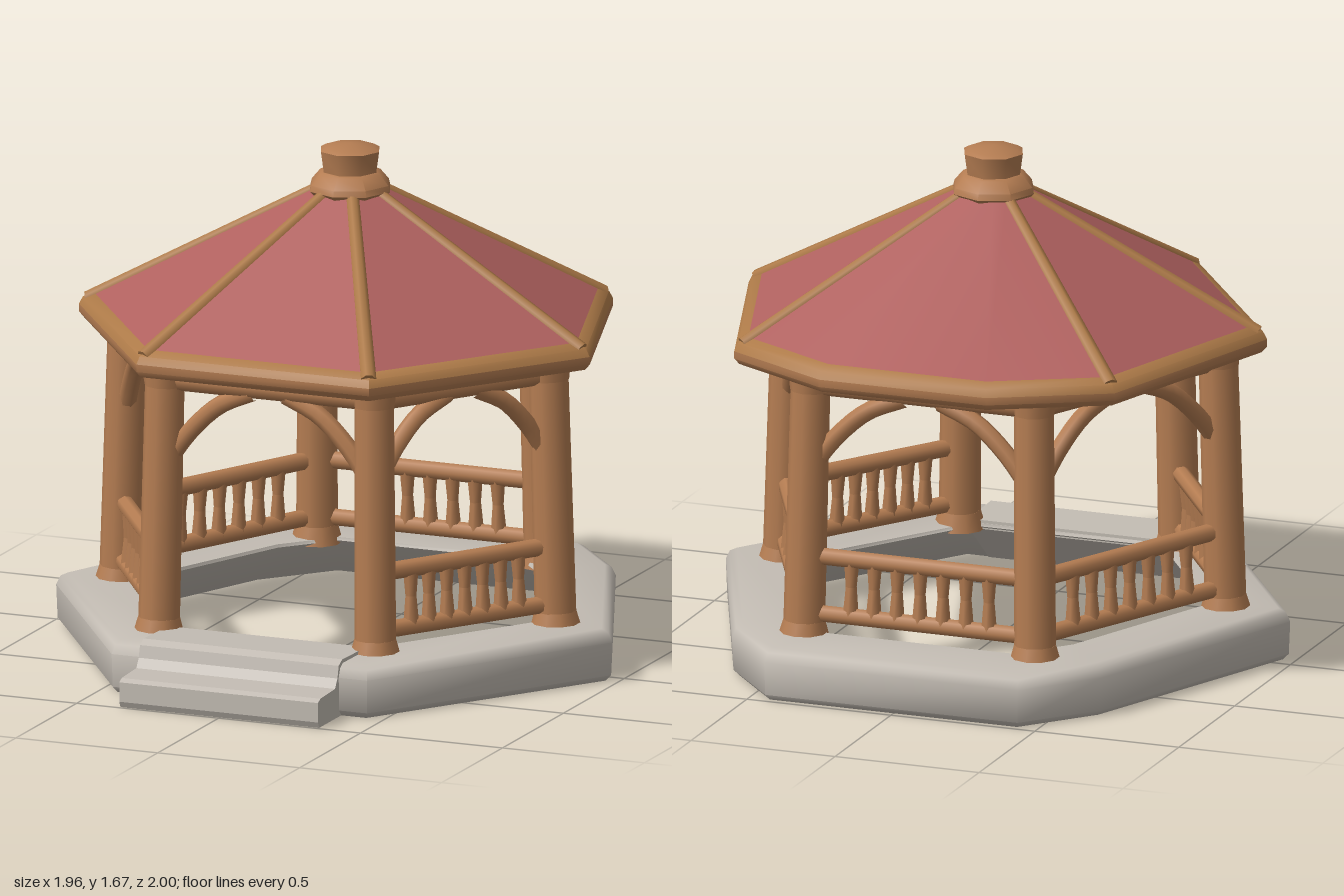
import * as THREE from 'three';
import { mergeGeometries, toCreasedNormals } from 'three/addons/utils/BufferGeometryUtils.js';

const material = (name, color) => {
  const m = new THREE.MeshStandardMaterial({ color });
  m.name = name;
  return m;
};
const V = (x, y, z) => new THREE.Vector3(x, y, z);

// Skin between scaled copies of an outline; sections are [scale, height]
function loft(outline, cz, sections, crease, closed = false) {
  const at = (i, j) => {
    const [x, z] = outline[i % outline.length];
    const [s, y] = sections[j % sections.length];
    return [x * s, y, cz + (z - cz) * s];
  };
  const pos = [];
  for (let j = 0; j < sections.length - (closed ? 0 : 1); j++) {
    for (let i = 0; i < outline.length; i++) {
      const a = at(i, j), b = at(i + 1, j), c = at(i + 1, j + 1), d = at(i, j + 1);
      pos.push(...a, ...d, ...b, ...b, ...d, ...c);
    }
  }
  const g = new THREE.BufferGeometry();
  g.setAttribute('position', new THREE.Float32BufferAttribute(pos, 3));
  return toCreasedNormals(g, crease);
}

// Straight round timber from a to b
function bar(a, b, r0, r1 = r0, sides = 8) {
  const dir = b.clone().sub(a);
  const g = new THREE.CylinderGeometry(r1, r0, dir.length(), sides);
  g.applyQuaternion(new THREE.Quaternion().setFromUnitVectors(V(0, 1, 0), dir.normalize()));
  return g.translate(...a.clone().add(b).multiplyScalar(0.5).toArray());
}

export function createModel() {
  const wood = material('brown wood', 0xb57d52);
  const trim = material('ochre trim', 0xad7a48);
  const red = material('red roofing', 0xb0615f);
  const stone = material('pale stone', 0xc3bcb3);
  const model = new THREE.Group();
  model.name = 'gazebo';
  const add = (name, geometry, mat) => {
    const mesh = new THREE.Mesh(geometry, mat);
    mesh.name = name;
    model.add(mesh);
  };

  // Open stone ring, undercut on the inside
  const baseOutline = [[0.98, 0.05], [0.45, 0.83], [-0.45, 0.83], [-0.98, 0.05],
    [-0.64, -0.77], [-0.44, -1], [0.44, -1], [0.64, -0.77]];
  add('stoneRing', loft(baseOutline, -0.03, [[0.975, 0], [0.995, 0.02], [1, 0.13], [0.985, 0.16],
    [0.96, 0.172], [0.73, 0.17], [0.725, 0.16], [0.95, 0]], 1, true), stone);

  // Steps: side profile extruded across the entrance
  const profile = new THREE.Shape([[0.78, 0], [0.99, 0], [1, 0.02], [1, 0.085], [0.98, 0.095],
    [0.86, 0.1], [0.84, 0.13], [0.83, 0.17], [0.8, 0.185], [0.6, 0.18], [0.6, 0.15]]
    .map(([z, y]) => new THREE.Vector2(z, y)));
  const steps = new THREE.ExtrudeGeometry(profile, { depth: 0.7, bevelEnabled: false });
  steps.rotateY(-Math.PI / 2).translate(0.35, 0, 0);
  add('frontSteps', steps, stone);

  // Posts with flared feet, leaning slightly inwards
  const posts = [[0.38, 0.6], [0.765, 0.02], [0.4, -0.74], [-0.4, -0.74], [-0.765, 0.02], [-0.38, 0.6]];
  const postAt = (i, y) => {
    const [x, z] = posts[i % 6];
    const s = 1.01 - 0.04 * y;
    return V(x * s, y, z * s);
  };
  posts.forEach((p, i) => {
    add('post', mergeGeometries([
      bar(postAt(i, 0.16), postAt(i, 1.07), 0.068, 0.064, 10),
      bar(postAt(i, 0.15), postAt(i, 0.21), 0.085, 0.068, 10),
      bar(postAt(i, 0.98), postAt(i, 1.06), 0.066, 0.076, 10),
    ]), wood);
  });

  // Beams, curved braces and railings between neighbouring posts
  for (let i = 0; i < 6; i++) {
    const along = (t, y) => postAt(i, y).lerp(postAt(i + 1, y), t);
    add('roofBeam', bar(along(0, 1.005), along(1, 1.005), 0.04), wood);
    for (const flip of [false, true]) {
      const p = (t, y) => along(flip ? 1 - t : t, y);
      const curve = new THREE.CatmullRomCurve3(
        [p(0.03, 0.74), p(0.13, 0.84), p(0.26, 0.93), p(0.42, 0.985)]);
      add('curvedBrace', new THREE.TubeGeometry(curve, 10, 0.03, 7), wood);
    }
    if (i === 5) continue; // the entrance has no railing
    const parts = [
      bar(along(0, 0.427), along(1, 0.427), 0.029),
      bar(along(0, 0.235), along(1, 0.235), 0.028),
    ];
    const count = 7;
    for (let k = 1; k <= count; k++) {
      const t = 0.1 + 0.8 * k / (count + 1);
      parts.push(bar(along(t, 0.24), along(t, 0.335), 0.026, 0.018, 6));
      parts.push(bar(along(t, 0.335), along(t, 0.43), 0.018, 0.026, 6));
    }
    add('railing', mergeGeometries(parts), wood);
  }

  // Roof panels, ochre edging, and timber eaves with the underside
  const roofOutline = [[0.9, 0.05], [0.41, 0.72], [-0.41, 0.72], [-0.9, 0.05],
    [-0.66, -0.7], [-0.29, -0.9], [0.29, -0.9], [0.66, -0.7]];
  const cz = -0.08;
  add('roofPanels', loft(roofOutline, cz, [[0.945, 1.117], [0.11, 1.53]], 0.35), red);
  add('roofEdging', loft(roofOutline, cz, [[1, 1.075], [0.985, 1.1], [0.945, 1.117]], 0.8), trim);
  add('roofEavesAndUnderside', loft(roofOutline, cz, [[0.01, 1.5], [0.92, 1.065], [0.94, 1.035],
    [0.98, 1.03], [1, 1.05], [1, 1.075]], 0.8), wood);

  // Hip ribs, half sunk into the roof
  roofOutline.forEach(([x, z], i) => {
    if (i === 5 || i === 6) return;
    const at = (s, y) => V(x * s, y, cz + (z - cz) * s);
    add('hipRib', bar(at(0.11, 1.517), at(0.965, 1.093), 0.022, 0.027), trim);
  });

  // Collar and finial
  const finial = new THREE.LatheGeometry([[0.11, 1.49], [0.14, 1.52], [0.135, 1.54], [0.105, 1.575],
    [0.092, 1.58], [0.102, 1.65], [0.085, 1.66], [0, 1.672]]
    .map(([r, y]) => new THREE.Vector2(r, y)), 8);
  finial.translate(0, 0, cz);
  add('finial', toCreasedNormals(finial.toNonIndexed(), 0.8), wood);

  return model;
}
